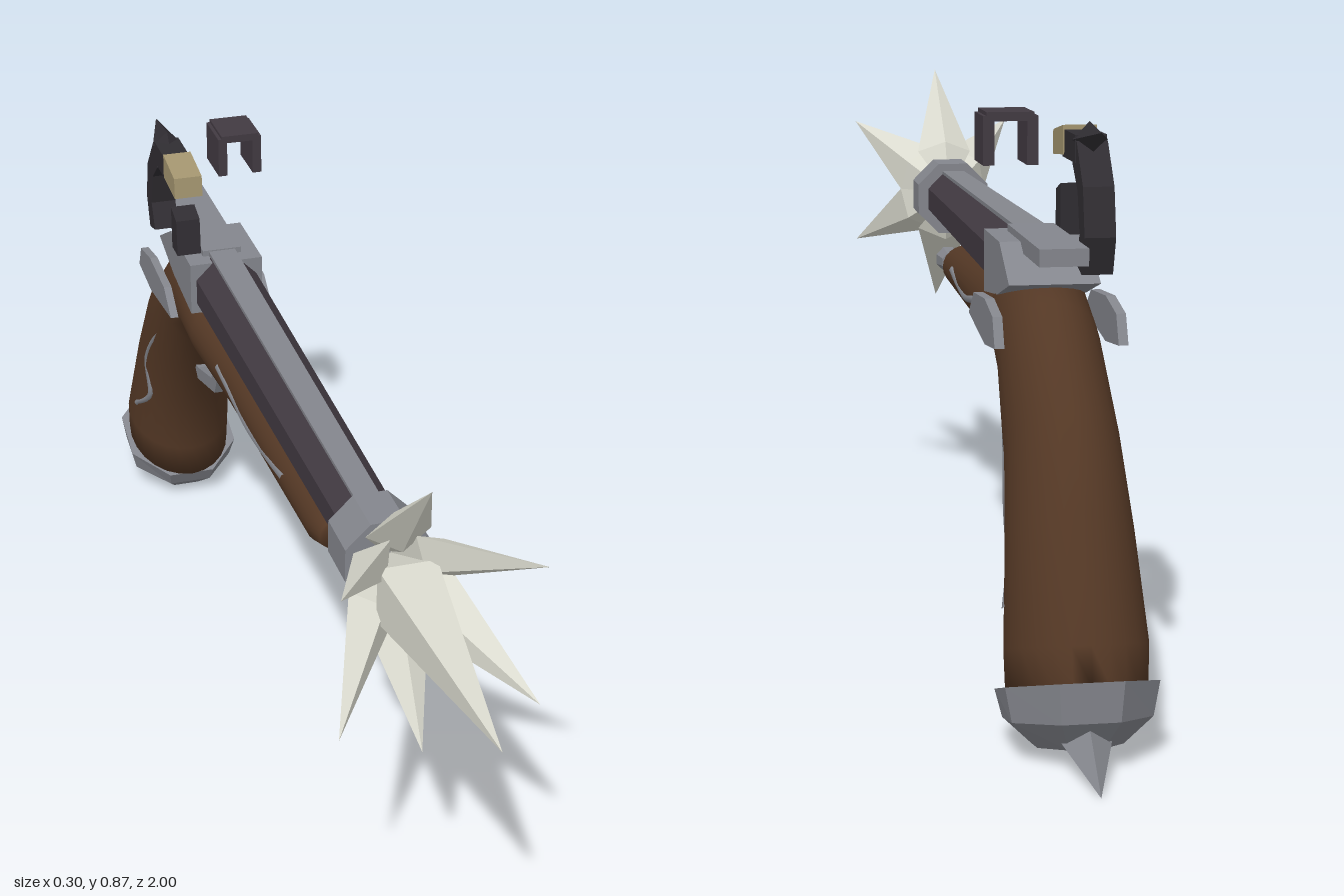
import * as THREE from 'three';

const V = (x, y, z) => new THREE.Vector3(x, y, z);

// Faceted copy of a geometry
function flat(geo) {
  const g = geo.index ? geo.toNonIndexed() : geo;
  g.computeVertexNormals();
  return g;
}

// Side profile of [z, y] points, extruded from x0 to x1
function profile(points, x0, x1) {
  const shape = new THREE.Shape(points.map(([z, y]) => new THREE.Vector2(-z, y)));
  const g = new THREE.ExtrudeGeometry(shape, { depth: x1 - x0, bevelEnabled: false });
  return g.rotateY(Math.PI / 2).translate(x0, 0, 0);
}

// Eight-sided bar along z with flats facing up and sideways
function octBar(rFront, rBack, zFront, zBack, y) {
  const g = new THREE.CylinderGeometry(rFront, rBack, zFront - zBack, 8);
  g.rotateY(Math.PI / 8).rotateX(Math.PI / 2).translate(0, y, (zFront + zBack) / 2);
  return flat(g);
}

// Loft of ellipses; each station is [topZ, topY, bottomZ, bottomY, halfWidth]
function loft(stations, sides, phase = 0) {
  const pos = [], idx = [];
  for (const [tz, ty, bz, by, w] of stations) {
    for (let j = 0; j < sides; j++) {
      const a = phase + (j / sides) * Math.PI * 2, c = Math.cos(a) / 2;
      pos.push(w * Math.sin(a), (ty + by) / 2 + (ty - by) * c, (tz + bz) / 2 + (tz - bz) * c);
    }
  }
  const last = stations.length - 1;
  for (let i = 0; i < last; i++) {
    for (let j = 0; j < sides; j++) {
      const a = i * sides + j, b = i * sides + (j + 1) % sides;
      idx.push(a, b, a + sides, b, b + sides, a + sides);
    }
  }
  for (let j = 1; j < sides - 1; j++) {
    idx.push(0, j + 1, j, last * sides, last * sides + j, last * sides + j + 1);
  }
  const g = new THREE.BufferGeometry();
  g.setAttribute('position', new THREE.Float32BufferAttribute(pos, 3));
  g.setIndex(idx);
  g.computeVertexNormals();
  return g;
}

// Four-sided spike from root to tip, widest at fraction t
function spike(root, tip, r, t, depth = 1, turn = 0) {
  const dir = tip.clone().sub(root), len = dir.length();
  dir.normalize();
  const pts = [[0, 0], [r, t * len], [0, len]].map(([x, y]) => new THREE.Vector2(x, y));
  const g = new THREE.LatheGeometry(pts, 4).rotateY(turn).scale(1, 1, depth);
  const side = dir.clone().cross(V(0, 0, 1));
  if (side.length() < 0.01) side.set(1, 0, 0);
  side.normalize();
  const m = new THREE.Matrix4().makeBasis(side, dir, side.clone().cross(dir));
  return flat(g.applyMatrix4(m.setPosition(root)));
}

export function createModel() {
  const model = new THREE.Group();
  const mat = (name, color) => {
    const m = new THREE.MeshStandardMaterial({ color });
    m.name = name;
    return m;
  };
  const wood = mat('walnut', 0x543825);
  const steel = mat('steel', 0x84868d);
  const dark = mat('darkBarrelMetal', 0x423a42);
  const black = mat('blackIron', 0x302d32);
  const flash = mat('paleFlash', 0xdadace);
  const flint = mat('flintTan', 0xa3956f);
  const add = (name, geo, material, parent = model) => {
    const m = new THREE.Mesh(geo, material);
    m.name = name;
    parent.add(m);
    return m;
  };
  const box = (w, h, d, x, y, z) => new THREE.BoxGeometry(w, h, d).translate(x, y, z);

  // Wooden stock: forend sweeping down into the grip
  add('stock', loft([
    [0.28, 0.55, 0.28, 0.495, 0.03], [0.25, 0.565, 0.25, 0.488, 0.044],
    [-0.2, 0.59, -0.2, 0.48, 0.055], [-0.4, 0.6, -0.4, 0.478, 0.068],
    [-0.53, 0.65, -0.47, 0.48, 0.073], [-0.64, 0.605, -0.54, 0.44, 0.075],
    [-0.78, 0.485, -0.61, 0.335, 0.081], [-0.85, 0.35, -0.67, 0.24, 0.09],
    [-0.925, 0.19, -0.705, 0.12, 0.1], [-0.935, 0.135, -0.705, 0.06, 0.098],
  ], 24), wood);

  // Pommel cap and spur
  add('pommelCap', flat(loft([
    [-0.945, 0.145, -0.698, 0.058, 0.116], [-0.94, 0.085, -0.715, 0.03, 0.106],
    [-0.9, 0.035, -0.755, 0.003, 0.065],
  ], 8, Math.PI / 8)), steel);
  add('pommelSpur', spike(V(0, 0.065, -0.85), V(0, 0.005, -1.0), 0.036, 0.3, 1, 0), steel);

  // Barrel, muzzle collar and top rib
  add('barrel', octBar(0.05, 0.06, 0.45, -0.42, 0.627), dark);
  add('muzzleCollar', octBar(0.07, 0.07, 0.52, 0.435, 0.627), steel);
  add('topRib', flat(loft([
    [0.44, 0.678, 0.44, 0.66, 0.028], [-0.44, 0.688, -0.44, 0.67, 0.034],
  ], 4, Math.PI / 4).scale(1, 1, 1)), steel).position.y = 0.003;
  add('tangPlate', box(0.07, 0.025, 0.28, 0, 0.678, -0.57), steel);

  // Breech block and the angled plates beside the wrist
  add('breech', profile([
    [-0.4, 0.68], [-0.55, 0.68], [-0.64, 0.63], [-0.53, 0.6], [-0.4, 0.585],
  ], -0.066, 0.066), steel);
  for (const s of [-1, 1]) {
    add('sidePlate', profile([
      [-0.44, 0.56], [-0.49, 0.598], [-0.6, 0.606], [-0.675, 0.592], [-0.695, 0.55], [-0.6, 0.54],
    ], s * 0.088 - 0.007, s * 0.088 + 0.007), steel);
  }

  // Inlaid scrollwork on both sides of the stock
  const scrolls = [
    [[0.046, 0.54, 0.12], [0.048, 0.528, 0.02], [0.051, 0.525, -0.08], [0.053, 0.535, -0.17], [0.056, 0.548, -0.26]],
    [[0.066, 0.46, -0.6], [0.076, 0.4, -0.67], [0.083, 0.33, -0.72], [0.079, 0.25, -0.72], [0.094, 0.2, -0.78]],
  ];
  for (const s of [-1, 1]) {
    scrolls.forEach((pts, k) => {
      const curve = new THREE.CatmullRomCurve3(pts.map(([x, y, z]) => V(s * (x - 0.003), y, z)));
      add(k ? 'gripInlay' : 'forendInlay', new THREE.TubeGeometry(curve, 24, 0.007, 6), steel);
    });
  }

  // Ramrod under the barrel
  add('ramrod', new THREE.CylinderGeometry(0.013, 0.013, 0.24, 10).rotateX(Math.PI / 2).translate(0, 0.503, 0.37), wood);
  add('ramrodTip', octBar(0.024, 0.018, 0.51, 0.465, 0.503), steel);

  // Trigger guard and trigger
  add('triggerGuard', profile([
    [-0.395, 0.485], [-0.445, 0.39], [-0.575, 0.352], [-0.6, 0.375],
    [-0.57, 0.378], [-0.467, 0.41], [-0.425, 0.485],
  ], -0.015, 0.015), steel);
  add('trigger', profile([
    [-0.475, 0.49], [-0.488, 0.45], [-0.475, 0.41], [-0.49, 0.412], [-0.505, 0.45], [-0.5, 0.49],
  ], -0.008, 0.008), steel);

  // Hammer with jaw, spur and flint, on the right side
  const hammer = new THREE.Group();
  hammer.name = 'hammer';
  model.add(hammer);
  add('hammerArm', profile([
    [-0.615, 0.655], [-0.655, 0.645], [-0.675, 0.7], [-0.66, 0.77],
    [-0.61, 0.83], [-0.58, 0.795], [-0.62, 0.76], [-0.637, 0.7],
  ], -0.08, -0.035), black, hammer);
  add('hammerJaw', box(0.046, 0.04, 0.1, -0.057, 0.818, -0.555), black, hammer);
  add('hammerSpur', spike(V(-0.057, 0.825, -0.57), V(-0.057, 0.847, -0.68), 0.026, 0.25), black, hammer);
  add('flint', profile([
    [-0.437, 0.795], [-0.44, 0.832], [-0.52, 0.845], [-0.52, 0.802],
  ], -0.082, -0.032), flint, hammer);

  // Striker plate ahead of the hammer
  add('frizzen', profile([
    [-0.445, 0.68], [-0.45, 0.745], [-0.488, 0.757], [-0.485, 0.68],
  ], -0.078, -0.035), black);

  // Raised arch bracket on the left side
  const bracket = new THREE.Group();
  bracket.name = 'archBracket';
  model.add(bracket);
  add('archTop', box(0.068, 0.013, 0.085, 0.057, 0.864, -0.552), dark, bracket);
  for (const x of [0.025, 0.088]) {
    add('archLeg', box(0.016, 0.07, 0.085, x, 0.83, -0.552), dark, bracket);
  }

  // Muzzle flash: one long spike ringed by six
  const burst = new THREE.Group();
  burst.name = 'muzzleFlash';
  model.add(burst);
  const root = V(0, 0.63, 0.5);
  const tips = [[0, 0.85, 0.7], [0, 0.405, 0.7]];
  for (const s of [-1, 1]) tips.push([s * 0.15, 0.745, 0.77], [s * 0.15, 0.51, 0.77]);
  for (const t of tips) add('flashSpike', spike(root, V(...t), 0.05, 0.33, 0.6), flash, burst);
  add('flashCore', spike(root, V(0, 0.63, 1), 0.064, 0.22, 1, Math.PI / 4), flash, burst);

  return model;
}
